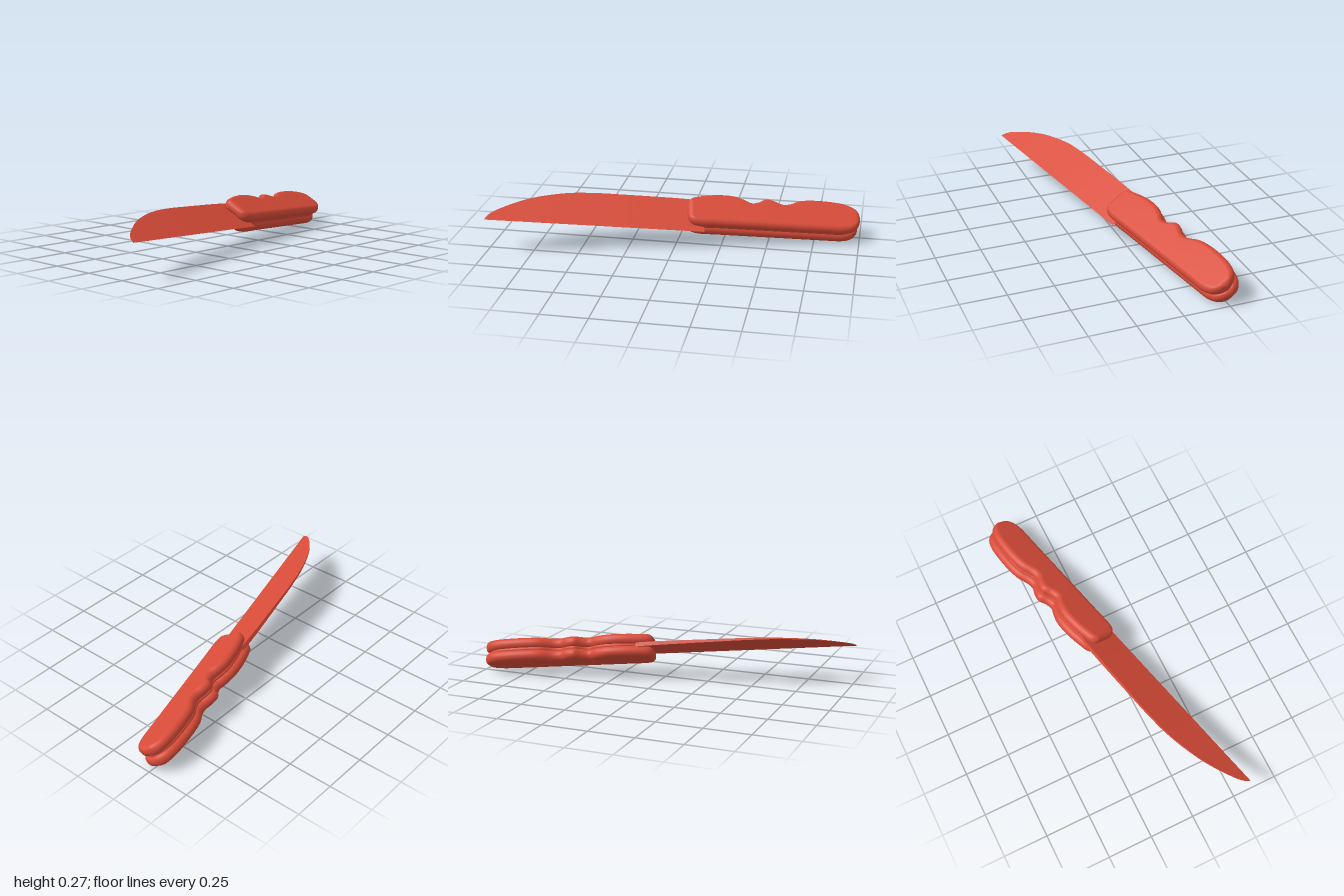
import * as THREE from 'three';
import { toCreasedNormals } from 'three/addons/utils/BufferGeometryUtils.js';

// Knife frame: x runs from blade tip to pommel, y from cutting edge to spine, z is thickness.

// Skins a list of equal-sized rings that run counter-clockwise about +x.
function loft(rings) {
  const n = rings[0].length, index = [];
  for (let i = 0; i < rings.length - 1; i++) {
    for (let j = 0; j < n; j++) {
      const a = i * n + j, b = i * n + (j + 1) % n;
      index.push(a, b, a + n, b, b + n, a + n);
    }
  }
  const g = new THREE.BufferGeometry();
  g.setAttribute('position', new THREE.Float32BufferAttribute(rings.flat(2), 3));
  g.setIndex(index);
  g.computeVertexNormals();
  return g;
}

// Handle outline: station, lower side, upper side with finger grooves
const handleKeys = [
  [1.105, 0.09, 0.15], [1.112, 0.055, 0.18], [1.135, 0.03, 0.2], [1.175, 0.02, 0.212],
  [1.27, 0.02, 0.228], [1.36, 0.02, 0.226], [1.42, 0.02, 0.206], [1.465, 0.02, 0.184],
  [1.505, 0.02, 0.194], [1.545, 0.02, 0.217], [1.585, 0.02, 0.21], [1.63, 0.02, 0.188],
  [1.67, 0.02, 0.189], [1.74, 0.02, 0.219], [1.81, 0.02, 0.228], [1.9, 0.02, 0.226],
  [1.98, 0.022, 0.215], [2.03, 0.038, 0.195], [2.06, 0.07, 0.165], [2.073, 0.11, 0.125],
];
const handleCurve = new THREE.CatmullRomCurve3(handleKeys.map((k) => new THREE.Vector3(...k)));

// Slab with stadium-shaped sections, thinning to nothing at both ends
function slabGeometry(halfThickness, inset) {
  const start = handleKeys[0][0], end = handleKeys[handleKeys.length - 1][0];
  const middle = (start + end) / 2, shrink = 1 - (2 * inset) / (end - start);
  const rings = handleCurve.getPoints(140).map((p) => {
    const d = Math.max(0, Math.min(p.x - start, end - p.x));
    const k = Math.max(0, 1 - d / halfThickness);
    const t = halfThickness * Math.sqrt(1 - k * k);
    const half = Math.max(0.002, (p.z - p.y) / 2 - inset), mid = (p.y + p.z) / 2;
    const r = Math.min(t, half), x = middle + (p.x - middle) * shrink;
    const ring = [];
    for (const side of [1, -1]) {
      for (let j = 0; j <= 10; j++) {
        const a = -Math.PI / 2 + (j / 10) * Math.PI;
        ring.push([x, mid + side * (half - r + r * Math.cos(a)), side * t * Math.sin(a)]);
      }
    }
    return ring;
  });
  return loft(rings);
}

// Wedge-shaped blade: straight edge, curved spine, thinner towards the tip
function bladeGeometry() {
  const spine = new THREE.SplineCurve([
    [0, 0], [0.02, 0.035], [0.06, 0.07], [0.17, 0.133], [0.285, 0.178], [0.445, 0.214],
    [0.6, 0.224], [0.76, 0.223], [1.07, 0.217], [1.2, 0.205],
  ].map((p) => new THREE.Vector2(...p)));
  const rings = spine.getPoints(60).map((p) => {
    const h = 0.011 * Math.min(1, p.x / 1.1);
    return [[p.x, 0, 0], [p.x, p.y, -h], [p.x, p.y, h]];
  });
  return toCreasedNormals(loft(rings), 0.6);
}

export function createModel() {
  const red = new THREE.MeshStandardMaterial({ color: 0xd84b38 });
  red.name = 'red';
  const knife = new THREE.Group();
  knife.name = 'knife';
  const add = (name, geometry, z = 0) => {
    const mesh = new THREE.Mesh(geometry, red);
    mesh.name = name;
    mesh.position.z = z;
    knife.add(mesh);
  };

  add('blade', bladeGeometry());
  // Two rounded handle scales around a recessed core
  const scale = slabGeometry(0.031, 0);
  add('upperHandleScale', scale, 0.034);
  add('lowerHandleScale', scale, -0.034);
  add('handleCore', slabGeometry(0.014, 0.014));

  // Lay the knife down, tilted about its length
  const along = new THREE.Vector3(0.969, -0.082, -0.233).normalize();
  const up = new THREE.Vector3(-0.161, 0.504, -0.849);
  const normal = new THREE.Vector3().crossVectors(along, up).normalize();
  up.crossVectors(normal, along);
  knife.quaternion.setFromRotationMatrix(new THREE.Matrix4().makeBasis(along, up, normal));

  // Centre it and rest it on the ground
  const model = new THREE.Group();
  model.name = 'model';
  model.add(knife);
  model.updateMatrixWorld(true);
  const box = new THREE.Box3().setFromObject(model, true);
  const c = box.getCenter(new THREE.Vector3());
  knife.position.set(-c.x, -box.min.y, -c.z);
  return model;
}
